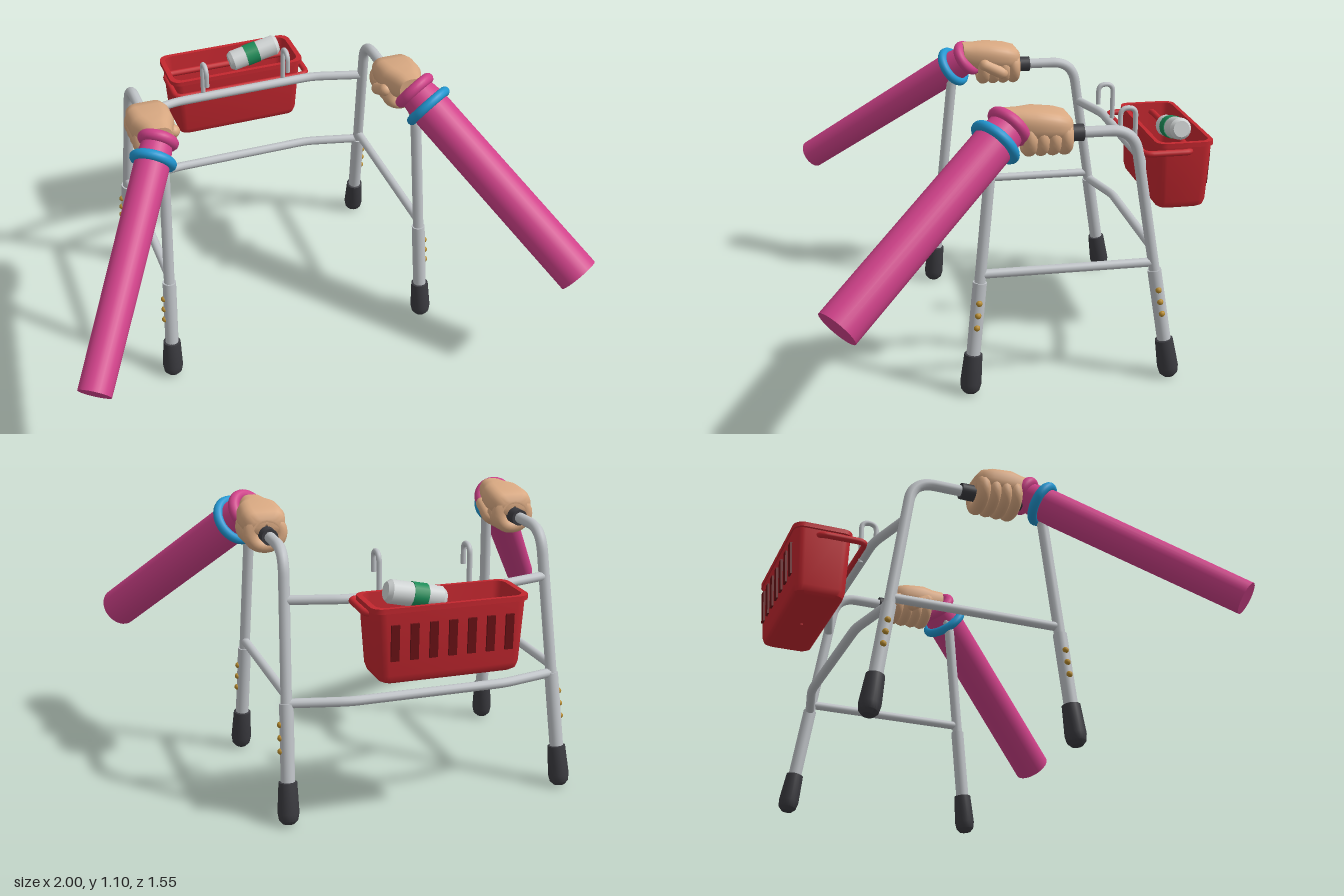
import * as THREE from 'three';
import { toCreasedNormals } from 'three/addons/utils/BufferGeometryUtils.js';

const V = (x, y, z) => new THREE.Vector3(x, y, z);
const paint = (name, color) => {
  const m = new THREE.MeshStandardMaterial({ color });
  m.name = name;
  return m;
};

// Tube along a polyline whose inner corners are rounded by distance r
function bentTube(pts, r, radius, segments = 64) {
  const path = new THREE.CurvePath();
  let from = pts[0];
  for (let i = 1; i < pts.length - 1; i++) {
    const p = pts[i];
    const a = p.clone().add(pts[i - 1].clone().sub(p).setLength(r));
    const b = p.clone().add(pts[i + 1].clone().sub(p).setLength(r));
    path.add(new THREE.LineCurve3(from, a));
    path.add(new THREE.QuadraticBezierCurve3(a, p, b));
    from = b;
  }
  path.add(new THREE.LineCurve3(from, pts[pts.length - 1]));
  return new THREE.TubeGeometry(path, segments, radius, 12, false);
}

// Skin over rounded rectangles: each section is [y, halfWidth, halfDepth, zCentre]
function loft(sections, round, crease) {
  const pos = [], index = [], per = 6, n = per * 4;
  for (const [y, hw, hd, cz = 0] of sections) {
    const r = Math.min(hw, hd) * round;
    for (let k = 0; k < n; k++) {
      const q = Math.floor(k / per);
      const a = (q + (k % per) / (per - 1)) * Math.PI / 2;
      const sx = q === 0 || q === 3 ? 1 : -1, sz = q < 2 ? 1 : -1;
      pos.push(sx * (hw - r) + r * Math.cos(a), y, cz + sz * (hd - r) + r * Math.sin(a));
    }
  }
  for (let j = 0; j < sections.length - 1; j++) {
    for (let k = 0; k < n; k++) {
      const a = j * n + k, b = j * n + (k + 1) % n;
      index.push(a, a + n, b, b, a + n, b + n);
    }
  }
  const g = new THREE.BufferGeometry();
  g.setAttribute('position', new THREE.Float32BufferAttribute(pos, 3));
  g.setIndex(index);
  return toCreasedNormals(g, crease);
}

const lathe = (pts, sides = 20) =>
  toCreasedNormals(new THREE.LatheGeometry(pts.map(p => new THREE.Vector2(...p)), sides), 0.6);

export function createModel() {
  const metal = paint('metal', 0xbfc3c7), rubber = paint('rubber', 0x3b3b40);
  const red = paint('basketRed', 0xc4272f), darkRed = paint('slotRed', 0x6a1216);
  const brass = paint('brass', 0xb58a2e), blue = paint('blue', 0x2196d0);
  const pink = paint('pink', 0xcf4189), skin = paint('skin', 0xd9a982);
  const white = paint('canGrey', 0xcdd1d1), green = paint('green', 0x1c8c58);

  const model = new THREE.Group();
  model.name = 'walker';
  const frame = new THREE.Group();
  frame.name = 'frame';
  frame.position.x = -0.015;
  model.add(frame);

  const add = (parent, name, geometry, material, at = V(0, 0, 0)) => {
    const m = new THREE.Mesh(geometry, material);
    m.name = name;
    m.position.copy(at);
    parent.add(m);
    return m;
  };
  const UP = V(0, 1, 0);
  const rod = (parent, name, a, b, ra, rb, material) => {
    const d = b.clone().sub(a);
    const m = add(parent, name, new THREE.CylinderGeometry(rb, ra, d.length(), 28), material,
      a.clone().add(b).multiplyScalar(0.5));
    m.quaternion.setFromUnitVectors(UP, d.normalize());
    return m;
  };

  // Leg axes: x and z for a given height
  const TOP = 0.983;
  const legAt = (s, front, y) => V(s * (0.54 - 0.0437 * y), y, front ? 0.22 - 0.1 * y : -0.553 + 0.161 * y);

  const footShape = lathe([[0, 0], [0.022, 0.004], [0.035, 0.018], [0.04, 0.045], [0.034, 0.158], [0.024, 0.16]]);
  const fingerShape = new THREE.TorusGeometry(0.05, 0.026, 12, 24);

  for (const s of [-1, 1]) {
    // One bent tube makes both legs and the handle
    add(frame, 'sideFrame', bentTube([legAt(s, true, 0.1), legAt(s, true, TOP),
      legAt(s, false, TOP), legAt(s, false, 0.1)], 0.09, 0.021, 160), metal);
    rod(frame, 'sideBar', legAt(s, true, 0.47), legAt(s, false, 0.47), 0.017, 0.017, metal);

    for (const front of [true, false]) {
      const base = legAt(s, front, 0);
      const dir = legAt(s, front, 1).sub(base).normalize();
      add(frame, 'rubberFoot', footShape, rubber, base).quaternion.setFromUnitVectors(UP, dir);
      rod(frame, 'lowerLeg', legAt(s, front, 0.14), legAt(s, front, 0.44), 0.026, 0.026, metal);
      for (const y of [0.27, 0.318, 0.366]) {
        add(frame, 'adjustButton', new THREE.SphereGeometry(0.012, 12, 8), brass,
          legAt(s, front, y).add(V(s * 0.024, 0, 0)));
      }
    }

    // Grip and the fist closed around it
    rod(frame, 'grip', V(s * 0.497, TOP, 0.04), V(s * 0.497, TOP, -0.205), 0.031, 0.031, rubber);
    const hand = new THREE.Group();
    hand.name = 'hand';
    hand.position.set(s * 0.497, 0, 0);
    frame.add(hand);
    const palm = loft([[-0.08, 0.005, 0.005, 1.04], [-0.08, 0.05, 0.045, 1.04], [-0.03, 0.062, 0.055, 1.03],
      [0.02, 0.082, 0.057, 1.028], [0.1, 0.084, 0.05, 1.024], [0.14, 0.074, 0.043, 1.02],
      [0.157, 0.05, 0.028, 1.015], [0.157, 0.005, 0.005, 1.015]], 0.85, 1.0);
    palm.rotateX(-Math.PI / 2);
    add(hand, 'palm', palm, skin);
    for (let i = 0; i < 4; i++) {
      add(hand, 'finger', fingerShape, skin, V(0, TOP, -0.003 - 0.043 * i)).scale.x = 1.12;
    }
    const thumb = add(hand, 'thumb', new THREE.CapsuleGeometry(0.025, 0.08, 6, 14), skin, V(-s * 0.073, 0.985, -0.04));
    thumb.rotation.set(1.1, 0, 0);
  }

  // Bowed cross bars at the back
  for (const [y, mid] of [[0.807, -0.48], [0.44, -0.535]]) {
    add(frame, 'crossBar', bentTube([legAt(-1, false, y), V(-0.3, y, mid), V(0.3, y, mid),
      legAt(1, false, y)], 0.04, 0.018), metal);
  }

  // Basket hanging behind the cross bar
  const basket = new THREE.Group();
  basket.name = 'basket';
  basket.position.set(-0.014, 0, -0.663);
  model.add(basket);
  add(basket, 'basketTub', loft([[0.573, 0.005, 0.005], [0.573, 0.24, 0.082], [0.582, 0.255, 0.094],
    [0.605, 0.263, 0.1], [0.832, 0.278, 0.11], [0.832, 0.288, 0.115], [0.85, 0.288, 0.115],
    [0.85, 0.268, 0.099], [0.59, 0.25, 0.086], [0.59, 0.005, 0.005]], 0.35, 0.7), red);
  for (let i = -3; i <= 3; i++) {
    add(basket, 'slot', new THREE.BoxGeometry(0.03, 0.13, 0.009), darkRed,
      V(i * 0.07, 0.725, -0.109)).rotation.x = -0.052;
  }
  const ringY = 0.812, zBack = -0.025, zFront = 0.163;
  add(basket, 'carryHandle', bentTube([V(0, ringY, zBack), V(0.285, ringY, zBack), V(0.285, ringY, zFront),
    V(-0.285, ringY, zFront), V(-0.285, ringY, zBack), V(0, ringY, zBack)], 0.035, 0.0125, 120), red);
  for (const s of [-1, 1]) {
    add(basket, 'hook', bentTube([V(0, 0.785, -0.49), V(0, 0.967, -0.49), V(0, 0.967, -0.43),
      V(0, 0.885, -0.43)], 0.0299, 0.01), metal, V(s * 0.173, 0, 0.663));
  }

  // Can lying in the basket
  const can = new THREE.Group();
  can.name = 'can';
  can.position.set(0.087, 0.857, -0.665);
  can.rotation.z = -1.35;
  model.add(can);
  add(can, 'canBody', lathe([[0, -0.11], [0.032, -0.11], [0.043, -0.095], [0.043, 0.095],
    [0.032, 0.11], [0, 0.11]], 16), white);
  add(can, 'canBand', new THREE.CylinderGeometry(0.0455, 0.0455, 0.055, 16), green, V(0, -0.01, 0));

  // Sleeves with a bracelet and a rolled cuff
  const arms = [
    { wrist: V(-0.55, 0.975, 0.115), end: V(-0.945, 0.492, 0.715), rEnd: 0.061, r: 0.066, ring: 0.069, cuff: 0.055 },
    { wrist: V(0.535, 0.98, 0.123), end: V(0.925, 0.497, 0.717), rEnd: 0.08, r: 0.078, ring: 0.083, cuff: 0.067 },
  ];
  for (const { wrist, end, rEnd, r, ring, cuff } of arms) {
    const dir = end.clone().sub(wrist).normalize();
    const cuffAt = wrist.clone().addScaledVector(dir, -0.08);
    rod(model, 'sleeve', wrist, end, r, rEnd, pink);
    rod(model, 'sleeveWrist', cuffAt, wrist, cuff, r, pink);
    const q = new THREE.Quaternion().setFromUnitVectors(V(0, 0, 1), dir);
    add(model, 'bracelet', new THREE.TorusGeometry(ring, 0.019, 14, 36), blue, wrist).quaternion.copy(q);
    add(model, 'cuff', new THREE.TorusGeometry(cuff, 0.022, 14, 36), pink, cuffAt).quaternion.copy(q);
  }
  return model;
}
